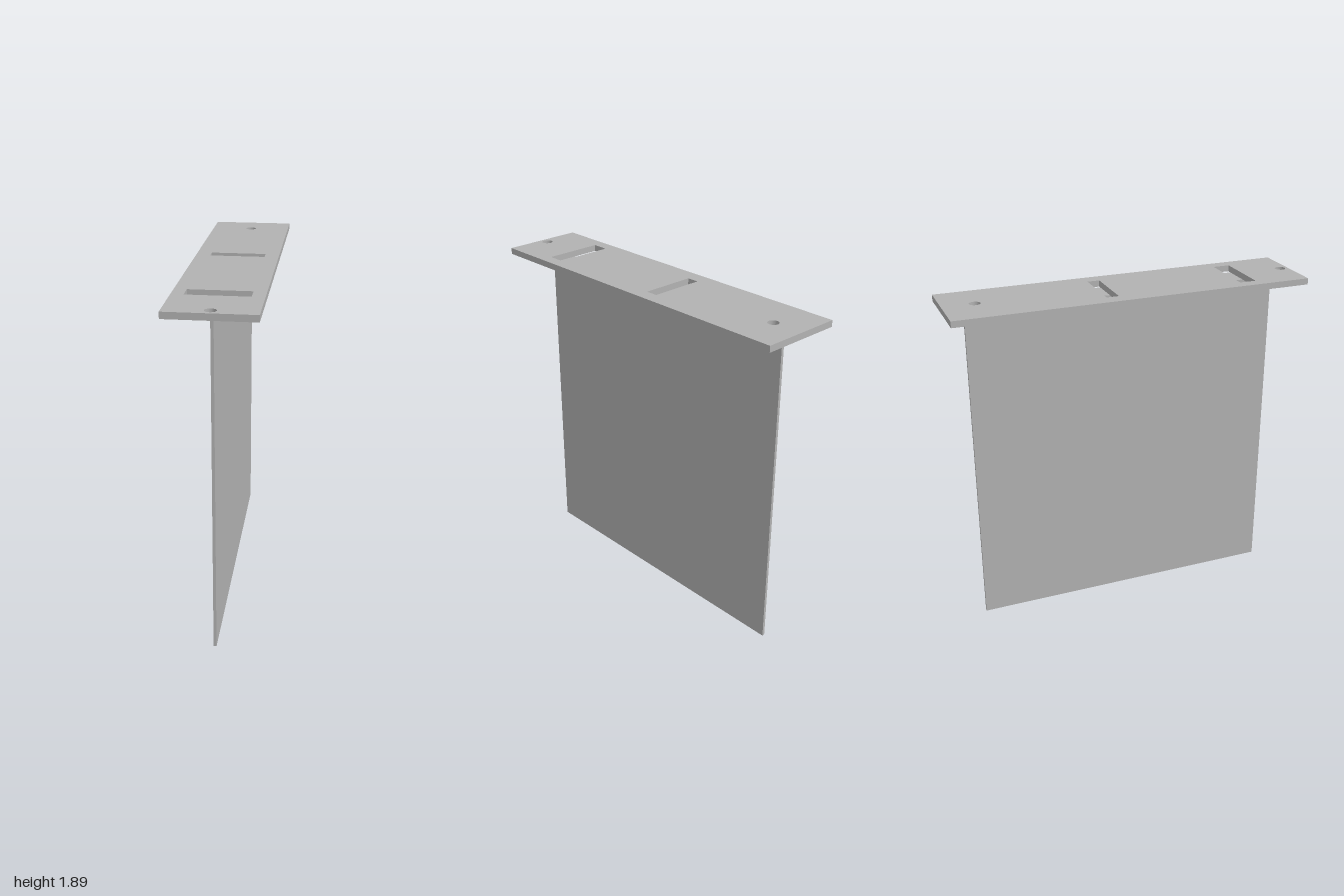
import * as THREE from 'three';

// Closed polygon from a list of [x, y] corners
function polygon(points, Type = THREE.Shape) {
  const p = new Type();
  points.forEach(([x, y], i) => (i ? p.lineTo(x, y) : p.moveTo(x, y)));
  p.closePath();
  return p;
}

const rect = (x0, x1, y0, y1, Type) =>
  polygon([[x0, y0], [x1, y0], [x1, y1], [x0, y1]], Type);

export function createModel() {
  const model = new THREE.Group();
  const grey = new THREE.MeshStandardMaterial({ color: 0xb2b2b2 });
  grey.name = 'plain grey';

  // Top plate drawn in plan (shape y = -z) with two slots and two screw holes
  const plan = rect(-0.23, 0.23, -1, 1);
  plan.holes.push(
    rect(-0.15, 0.153, 0.092, 0.16, THREE.Path),
    rect(-0.165, 0.163, -0.707, -0.612, THREE.Path)
  );
  for (const [x, z] of [[0.003, -0.825], [0, 0.953]]) {
    const hole = new THREE.Path();
    hole.absarc(x, -z, 0.03, 0, Math.PI * 2, true);
    plan.holes.push(hole);
  }
  const plateGeometry = new THREE.ExtrudeGeometry(plan, {
    depth: 0.035, bevelEnabled: false, curveSegments: 24,
  });
  plateGeometry.rotateX(-Math.PI / 2);
  const topPlate = new THREE.Mesh(plateGeometry, grey);
  topPlate.name = 'topPlate';
  topPlate.position.y = 1.858;
  model.add(topPlate);

  // Thin hanging sheet folded over into a flange under the plate
  const profile = polygon([
    [-0.011, 0], [0.005, 0], [0.005, 1.842],
    [0.14, 1.842], [0.14, 1.857], [-0.011, 1.857],
  ]);
  const sheetGeometry = new THREE.ExtrudeGeometry(profile, {
    depth: 1.776, bevelEnabled: false,
  });
  sheetGeometry.translate(0, 0, -0.888);
  const foldedSheet = new THREE.Mesh(sheetGeometry, grey);
  foldedSheet.name = 'foldedSheet';
  model.add(foldedSheet);

  return model;
}
